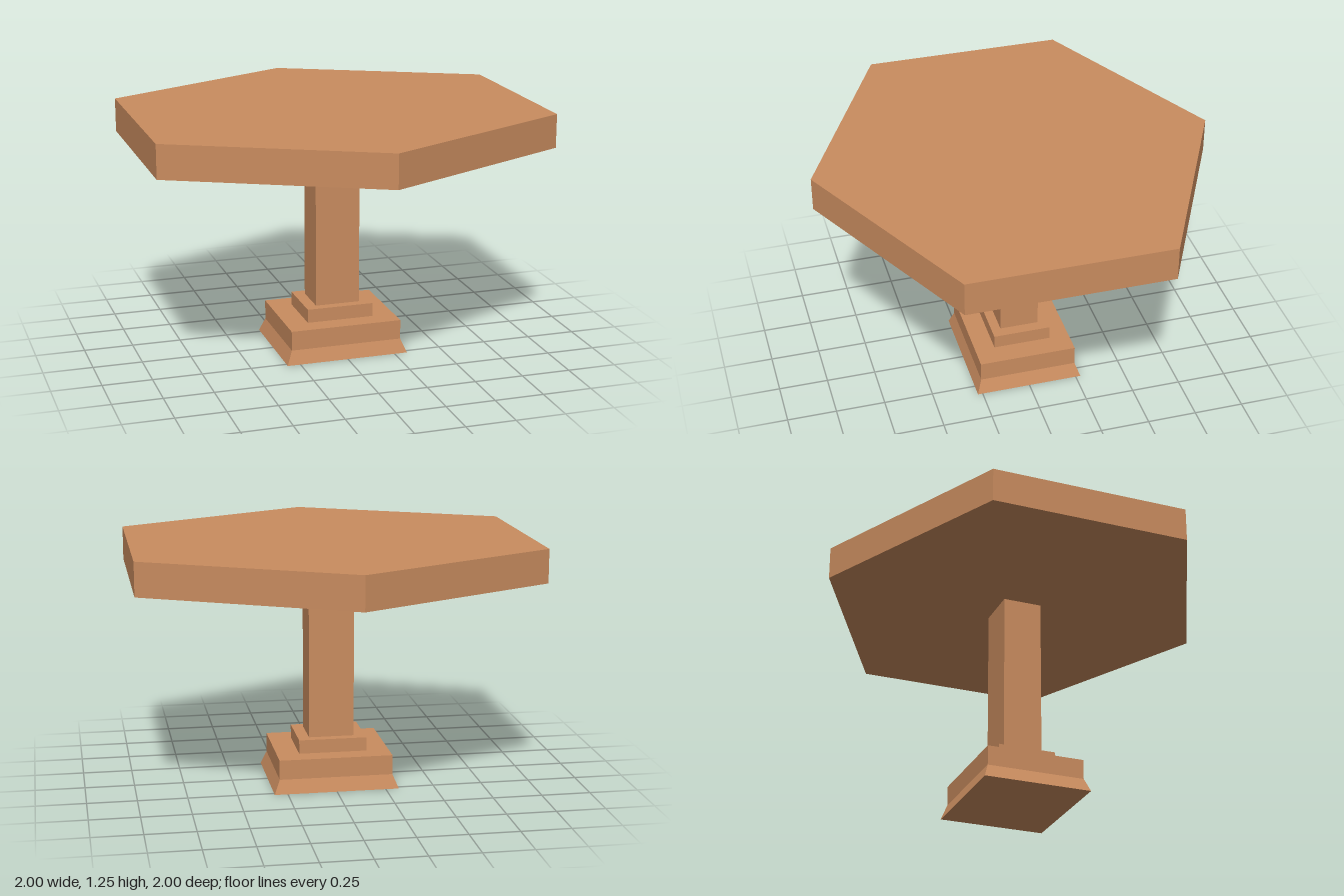
import * as THREE from 'three';

export function createModel() {
  const group = new THREE.Group();
  const material = new THREE.MeshStandardMaterial({ color: 0xc98c5f, flatShading: true });

  const add = (name, geometry, y0, y1) => {
    const mesh = new THREE.Mesh(geometry, material);
    mesh.name = name;
    mesh.position.y = (y0 + y1) / 2;
    group.add(mesh);
  };

  // Rectangular block between two heights; flare widens its foot
  const block = (name, width, depth, y0, y1, flare = 1) => {
    const geometry = new THREE.BoxGeometry(width, y1 - y0, depth);
    const p = geometry.attributes.position;
    for (let i = 0; i < p.count; i++) {
      if (p.getY(i) < 0) {
        p.setX(i, p.getX(i) * flare);
        p.setZ(i, p.getZ(i) * flare);
      }
    }
    geometry.computeVertexNormals();
    add(name, geometry, y0, y1);
  };

  // Hexagonal top, stretched so that it is as wide as it is deep
  const top = new THREE.CylinderGeometry(1, 1, 0.17, 6);
  top.scale(1 / Math.sin(Math.PI / 3), 1, 1);
  add('tableTop', top, 1.08, 1.25);

  // Column and stepped foot
  block('column', 0.23, 0.2, 0.24, 1.08);
  block('collar', 0.346, 0.296, 0.17, 0.24);
  block('basePlinth', 0.576, 0.5, 0.07, 0.17);
  block('baseSkirt', 0.576, 0.5, 0, 0.07, 1.1);

  return group;
}
